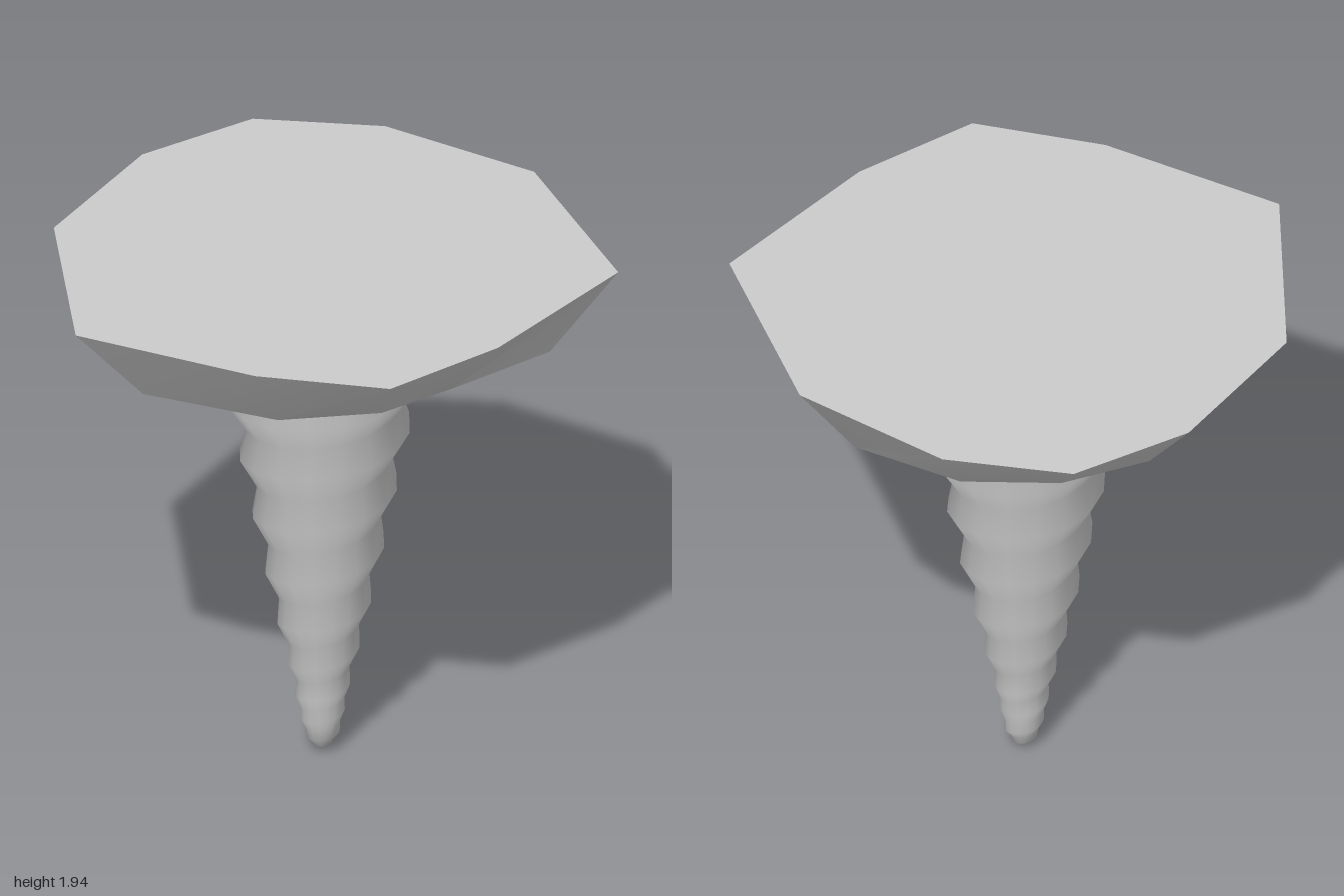
import * as THREE from 'three';
import { toCreasedNormals } from 'three/addons/utils/BufferGeometryUtils.js';

const material = new THREE.MeshStandardMaterial({ color: 0xcccccc, side: THREE.DoubleSide });

function build(positions, index) {
  const g = new THREE.BufferGeometry();
  g.setAttribute('position', new THREE.Float32BufferAttribute(positions.flat(), 3));
  g.setIndex(index);
  return g;
}

// Faceted bowl: flat rim, irregular shoulder, collar around the shaft
function bowlGeometry() {
  const rim = [[0, -1], [0.43, -0.84], [0.85, -0.4], [0.96, 0.37], [0.43, 0.8], [0, 1],
    [-0.43, 0.8], [-0.96, 0.37], [-0.85, -0.4], [-0.43, -0.84]].map(([x, z]) => [x, 1.94, z]);
  const shoulder = [[0, 1.71, -0.75], [0.33, 1.67, -0.63], [0.64, 1.61, -0.3], [0.74, 1.61, 0.28],
    [0.32, 1.69, 0.6], [0.03, 1.71, 0.75], [-0.3, 1.645, 0.6], [-0.7, 1.63, 0.28],
    [-0.64, 1.63, -0.3], [-0.33, 1.67, -0.63]];
  const collar = [[0, 1.47, -0.35], [0.2, 1.49, -0.29], [0.33, 1.5, -0.13], [0.35, 1.49, 0.06],
    [0.21, 1.56, 0.27], [0, 1.54, 0.33], [-0.2, 1.56, 0.27], [-0.32, 1.53, 0.1],
    [-0.32, 1.51, -0.12], [-0.2, 1.5, -0.28]];
  const n = rim.length, top = 3 * n, under = top + 1;
  const points = [...rim, ...shoulder, ...collar, [0, 1.94, 0], [0, 1.54, 0]];
  const index = [];
  for (let i = 0; i < n; i++) {
    const j = (i + 1) % n;
    index.push(top, j, i, under, 2 * n + i, 2 * n + j);
    for (let k = 0; k < 2 * n; k += n) {
      index.push(k + i, k + j, k + n + j, k + i, k + n + j, k + n + i);
    }
  }
  return toCreasedNormals(build(points, index), 0.5);
}

// Tapered screw: one helical ridge and one helical groove, stitched turn to turn
function screwGeometry() {
  const N = 16;
  const heights = [0.025, 0.08, 0.17, 0.27, 0.42, 0.6, 0.82, 1.05, 1.28, 1.49, 1.7];
  const radii = [0.035, 0.065, 0.082, 0.1, 0.135, 0.175, 0.22, 0.265, 0.31, 0.35, 0.36];
  const sample = (list, t) => {
    const i = Math.min(Math.floor(t), list.length - 2);
    return THREE.MathUtils.lerp(list[i], list[i + 1], t - i);
  };
  const M = (heights.length - 1) * N, grooves = M - N;
  const points = [], index = [];
  const add = (m, y, r) => {
    const a = (m / N) * Math.PI * 2;
    points.push([r * Math.cos(a), y, -r * Math.sin(a)]);
  };
  for (let m = 0; m <= M; m++) add(m, sample(heights, m / N), sample(radii, m / N));
  for (let m = 0; m <= grooves; m++) {
    const y = (sample(heights, m / N) + sample(heights, m / N + 1)) / 2;
    const r = (sample(radii, m / N) + sample(radii, m / N + 1)) / 2;
    add(m, y, r * (y < 0.25 ? 0.9 : 0.845));
  }
  const V = M + 1, tip = points.length;
  points.push([0, 0, 0]);
  for (let m = 0; m < grooves; m++) {
    index.push(m, m + 1, V + m + 1, m, V + m + 1, V + m);
    index.push(V + m, V + m + 1, m + 1 + N, V + m, m + 1 + N, m + N);
  }
  // Closed point at the bottom
  for (let m = 0; m < N; m++) index.push(tip, m + 1, m);
  index.push(tip, V, N, tip, 0, V);
  const g = build(points, index);
  g.computeVertexNormals();
  return g;
}

export function createModel() {
  const group = new THREE.Group();
  const parts = { bowlHead: bowlGeometry(), screwShaft: screwGeometry() };
  for (const [name, geometry] of Object.entries(parts)) {
    const mesh = new THREE.Mesh(geometry, material);
    mesh.name = name;
    group.add(mesh);
  }
  return group;
}
